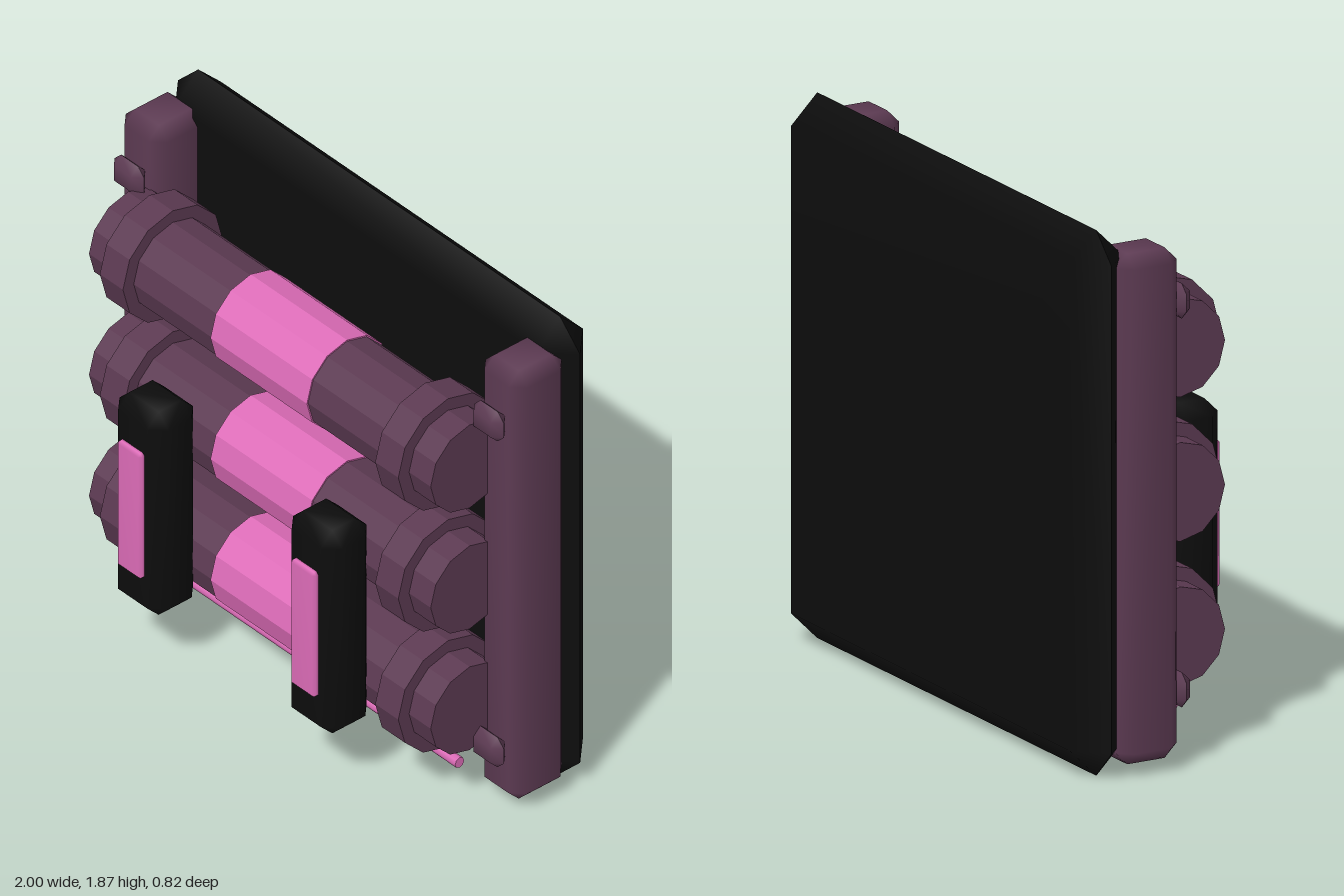
import * as THREE from 'three';
import { mergeVertices } from 'three/addons/utils/BufferGeometryUtils.js';
import { ConvexGeometry } from 'three/addons/geometries/ConvexGeometry.js';

const mat = (name, color, flatShading = false) => {
  const m = new THREE.MeshStandardMaterial({ color, flatShading });
  m.name = name;
  return m;
};

// Box with a single-segment chamfer and soft normals
function chamferBox(w, h, d, b) {
  const x = w / 2, y = h / 2, z = d / 2, pts = [];
  for (const i of [-1, 1]) for (const j of [-1, 1]) for (const k of [-1, 1]) {
    pts.push(
      new THREE.Vector3(i * x, j * (y - b), k * (z - b)),
      new THREE.Vector3(i * (x - b), j * y, k * (z - b)),
      new THREE.Vector3(i * (x - b), j * (y - b), k * z));
  }
  const hull = new ConvexGeometry(pts);
  hull.deleteAttribute('normal');
  const g = mergeVertices(hull, 1e-4);
  g.computeVertexNormals();
  return g;
}

// Cylinder lying along x
const bar = (r, length, sides = 12) =>
  new THREE.CylinderGeometry(r, r, length, sides).rotateZ(Math.PI / 2);

export function createModel() {
  const model = new THREE.Group();
  model.name = 'cylinderRack';
  const black = mat('black', 0x0d0d0d);
  const plum = mat('plum', 0x5c3a52);
  const pink = mat('pink', 0xdd6cb8);
  // Faceted versions for the low-poly cylinders
  const plumFacet = mat('plum faceted', 0x5c3a52, true);
  const pinkFacet = mat('pink faceted', 0xdd6cb8, true);

  const add = (name, geometry, material, x, y, z, parent = model) => {
    const m = new THREE.Mesh(geometry, material);
    m.name = name;
    m.position.set(x, y, z);
    parent.add(m);
    return m;
  };

  // Back panel
  add('backPanel', chamferBox(2, 1.87, 0.2, 0.0995), black, 0, 0.935, -0.31);

  // Three horizontal cylinders with collars and a glowing band
  [0.41, 0.905, 1.4].forEach((y, i) => {
    const cell = new THREE.Group();
    cell.name = 'cylinder' + (i + 1);
    cell.position.set(0, y, 0.04);
    model.add(cell);
    add('tube', bar(0.17, 1.7), plumFacet, 0, 0, 0, cell);
    add('band', bar(0.175, 0.48), pinkFacet, 0, 0, 0, cell);
    for (const s of [-1, 1]) add('collar', bar(0.217, 0.115), plumFacet, s * 0.685, 0, 0, cell);
  });

  // Mirrored side parts
  for (const s of [-1, 1]) {
    const side = s > 0 ? 'left' : 'right';
    add(side + 'Post', chamferBox(0.21, 1.75, 0.232, 0.045), plum, s * 0.895, 0.915, -0.153);
    for (const y of [0.257, 1.59]) {
      add(side + 'Bolt', chamferBox(0.145, 0.12, 0.062, 0.03), plum, s * 0.895, y, -0.006);
    }
    add(side + 'Clasp', chamferBox(0.245, 0.83, 0.2, 0.05), black, s * 0.432, 0.675, 0.286);
    add(side + 'ClaspLight', chamferBox(0.12, 0.51, 0.03, 0.01), pink, s * 0.432, 0.68, 0.391);
  }

  // Thin light rod along the bottom
  add('bottomRod', bar(0.02, 1.6, 8), pink, 0, 0.16, 0.04);

  return model;
}
